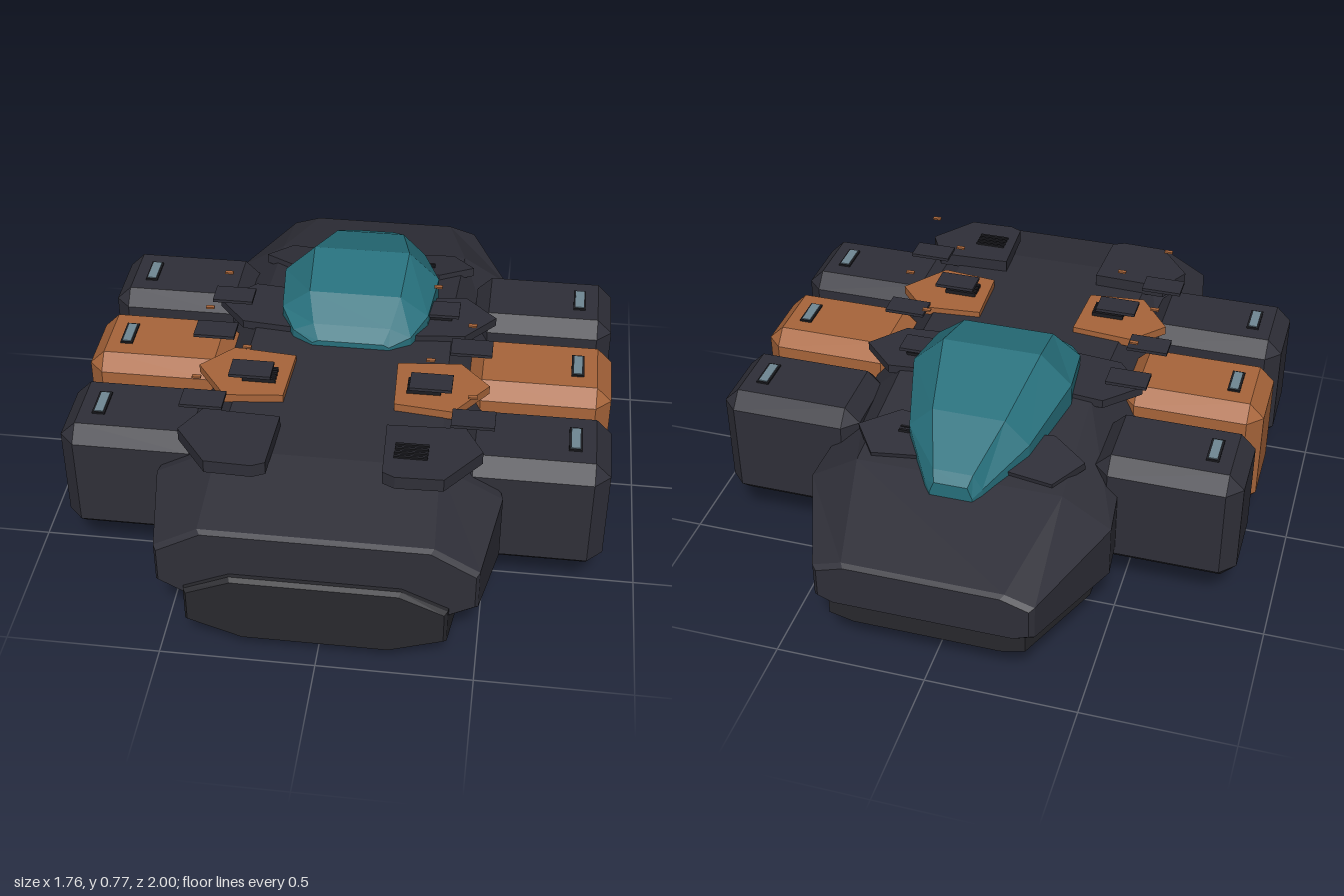
import * as THREE from 'three';
import { ConvexGeometry } from 'three/addons/geometries/ConvexGeometry.js';

const material = (name, color) => {
  const m = new THREE.MeshStandardMaterial({ color });
  m.name = name;
  return m;
};

// Loft of eight-sided sections, ordered from front to back.
// Station: [z, half width, side low y, side high y, top half width, top y, bottom half width, bottom y]
function loft(stations) {
  const rings = stations.map(([z, w, yb, yt, tw, top, bw, bot]) => [
    [w, yb, z], [w, yt, z], [tw, top, z], [-tw, top, z],
    [-w, yt, z], [-w, yb, z], [-bw, bot, z], [bw, bot, z],
  ]);
  const pos = [];
  const tri = (...points) => points.forEach((p) => pos.push(...p));
  for (let i = 0; i < rings.length - 1; i++) {
    for (let j = 0; j < 8; j++) {
      const k = (j + 1) % 8;
      const a = rings[i][j], b = rings[i][k], c = rings[i + 1][k], d = rings[i + 1][j];
      tri(a, d, c);
      tri(a, c, b);
    }
  }
  const first = rings[0], last = rings[rings.length - 1];
  for (let j = 1; j < 7; j++) {
    tri(first[0], first[j], first[j + 1]);
    tri(last[0], last[j + 1], last[j]);
  }
  const g = new THREE.BufferGeometry();
  g.setAttribute('position', new THREE.Float32BufferAttribute(pos, 3));
  g.computeVertexNormals();
  return g;
}

// Box with every edge and corner cut at 45 degrees
function chamferBox(w, h, d, c) {
  const pts = [];
  for (const x of [-w / 2, w / 2]) for (const y of [-h / 2, h / 2]) for (const z of [-d / 2, d / 2]) {
    const sx = Math.sign(x) * c, sy = Math.sign(y) * c, sz = Math.sign(z) * c;
    pts.push(new THREE.Vector3(x, y - sy, z - sz));
    pts.push(new THREE.Vector3(x - sx, y, z - sz));
    pts.push(new THREE.Vector3(x - sx, y - sy, z));
  }
  return new ConvexGeometry(pts);
}

// Flat panel from x/z corners; its top lies at local y = 0
function panel(points, side, thickness) {
  const shape = new THREE.Shape(points.map(([x, z]) => new THREE.Vector2(x * side, z)));
  const g = new THREE.ExtrudeGeometry(shape, { depth: thickness, bevelEnabled: false });
  return g.rotateX(Math.PI / 2);
}

export function createModel() {
  const root = new THREE.Group();
  root.name = 'hoverCraft';
  const dark = material('charcoal hull', 0x2f2f38);
  const lower = material('dark underside', 0x28282d);
  const black = material('black fittings', 0x1c1c21);
  const orange = material('burnt orange', 0xa8653a);
  const teal = material('teal glass', 0x27707c);
  const pale = material('pale grey blue', 0x708793);

  const add = (name, geometry, mat, x = 0, y = 0, z = 0) => {
    const m = new THREE.Mesh(geometry, mat);
    m.name = name;
    m.position.set(x, y, z);
    root.add(m);
    return m;
  };
  const box = (name, w, h, d, mat, x, y, z) => add(name, new THREE.BoxGeometry(w, h, d), mat, x, y, z);

  // Hulls
  add('upperHull', loft([
    [0.97, 0.49, 0.29, 0.41, 0.35, 0.49, 0.40, 0.24],
    [0.955, 0.50, 0.28, 0.42, 0.36, 0.50, 0.41, 0.23],
    [0.66, 0.55, 0.23, 0.46, 0.35, 0.57, 0.45, 0.17],
    [0.30, 0.46, 0.22, 0.47, 0.34, 0.585, 0.43, 0.14],
    [-0.20, 0.46, 0.21, 0.47, 0.33, 0.597, 0.43, 0.13],
    [-0.61, 0.50, 0.24, 0.42, 0.34, 0.52, 0.43, 0.16],
    [-0.985, 0.355, 0.27, 0.39, 0.26, 0.42, 0.30, 0.25],
    [-1.0, 0.34, 0.28, 0.38, 0.25, 0.41, 0.29, 0.26],
  ]), dark);
  add('lowerHull', loft([
    [1.0, 0.40, 0.16, 0.27, 0.26, 0.33, 0.23, 0.10],
    [0.985, 0.41, 0.15, 0.275, 0.265, 0.34, 0.24, 0.09],
    [0.70, 0.445, 0.13, 0.25, 0.28, 0.32, 0.22, 0.03],
    [-0.14, 0.445, 0.11, 0.22, 0.28, 0.30, 0.22, 0.0],
    [-0.61, 0.44, 0.13, 0.22, 0.28, 0.28, 0.26, 0.08],
    [-0.965, 0.32, 0.18, 0.24, 0.22, 0.26, 0.24, 0.16],
  ]), lower);

  // Canopy
  add('canopy', loft([
    [0.10, 0.13, 0.57, 0.60, 0.11, 0.61, 0.10, 0.55],
    [0.06, 0.20, 0.57, 0.62, 0.13, 0.65, 0.16, 0.55],
    [-0.03, 0.25, 0.57, 0.65, 0.155, 0.72, 0.22, 0.54],
    [-0.23, 0.27, 0.56, 0.67, 0.165, 0.77, 0.24, 0.53],
    [-0.49, 0.20, 0.51, 0.60, 0.12, 0.68, 0.18, 0.48],
    [-0.66, 0.095, 0.47, 0.53, 0.065, 0.58, 0.08, 0.46],
    [-0.69, 0.07, 0.47, 0.51, 0.055, 0.55, 0.06, 0.46],
  ]), teal);

  for (const side of [-1, 1]) {
    const label = side > 0 ? 'left' : 'right';

    // Side pods with roof lights
    [-0.31, 0.08, 0.47].forEach((z, i) => {
      add(label + 'Pod', chamferBox(0.48, 0.415, 0.32, 0.05), i === 1 ? orange : dark, side * 0.64, 0.358, z);
      box('podLightFrame', 0.042, 0.009, 0.112, black, side * 0.765, 0.567, z);
      box('podLight', 0.03, 0.009, 0.10, pale, side * 0.765, 0.570, z);
    });

    // Deck panels
    add(label + 'FrontPanel', panel([[0.17, 0.53], [0.18, 0.76], [0.22, 0.78], [0.37, 0.775], [0.48, 0.63], [0.42, 0.52]], side, 0.045),
      dark, 0, 0.617, 0);
    add(label + 'OrangePanel', panel([[0.17, 0.19], [0.18, 0.41], [0.37, 0.43], [0.48, 0.28], [0.38, 0.17]], side, 0.03),
      orange, 0, 0.608, 0);
    add(label + 'MiddlePanel', panel([[0.17, -0.19], [0.37, -0.21], [0.48, -0.10], [0.38, 0.02], [0.17, 0.04]], side, 0.03),
      dark, 0, 0.613, 0);
    const rear = add(label + 'RearPanel', panel([[0.08, 0.08], [0.26, 0.10], [0.38, 0.01], [0.30, -0.10], [0.08, -0.07]], side, 0.03),
      dark, 0, 0.56, -0.49);
    rear.rotation.x = -0.2;

    // Orange connector between the pods
    box(label + 'Connector', 0.07, 0.025, 0.04, orange, side * 0.455, 0.32, 0.295);

    // Slats beside the hatch on each orange panel
    for (let i = 0; i < 4; i++) box('hatchSlat', 0.11, 0.014, 0.01, black, side * 0.27, 0.615, 0.285 + i * 0.02);
  }

  // Vent slats on the left panels
  for (let i = 0; i < 4; i++) {
    box('frontVentSlat', 0.105, 0.009, 0.009, black, 0.26, 0.619, 0.625 + i * 0.02);
    box('middleVentSlat', 0.10, 0.012, 0.009, black, 0.28, 0.617, -0.13 + i * 0.02);
  }
  for (let i = 0; i < 2; i++) box('rearVentSlat', 0.06, 0.009, 0.009, black, 0.21, 0.565, -0.48 + i * 0.02);

  // Raised hatch plates and hovering marker lights: hatch x, marker x, hatch z
  const hatches = [
    [-0.43, -0.435, -0.097], [0.285, 0.28, -0.097],
    [-0.455, -0.46, 0.115], [0.41, 0.41, 0.115],
    [-0.298, -0.30, 0.32], [0.292, 0.29, 0.32],
    [-0.425, -0.43, 0.495], [0.44, 0.435, 0.495],
  ];
  for (const [x, mx, z] of hatches) {
    box('hatchPlate', 0.138, 0.011, 0.085, dark, x, 0.635, z);
    box('markerLight', 0.028, 0.006, 0.014, orange, mx, 0.755, z + 0.04);
  }
  return root;
}
